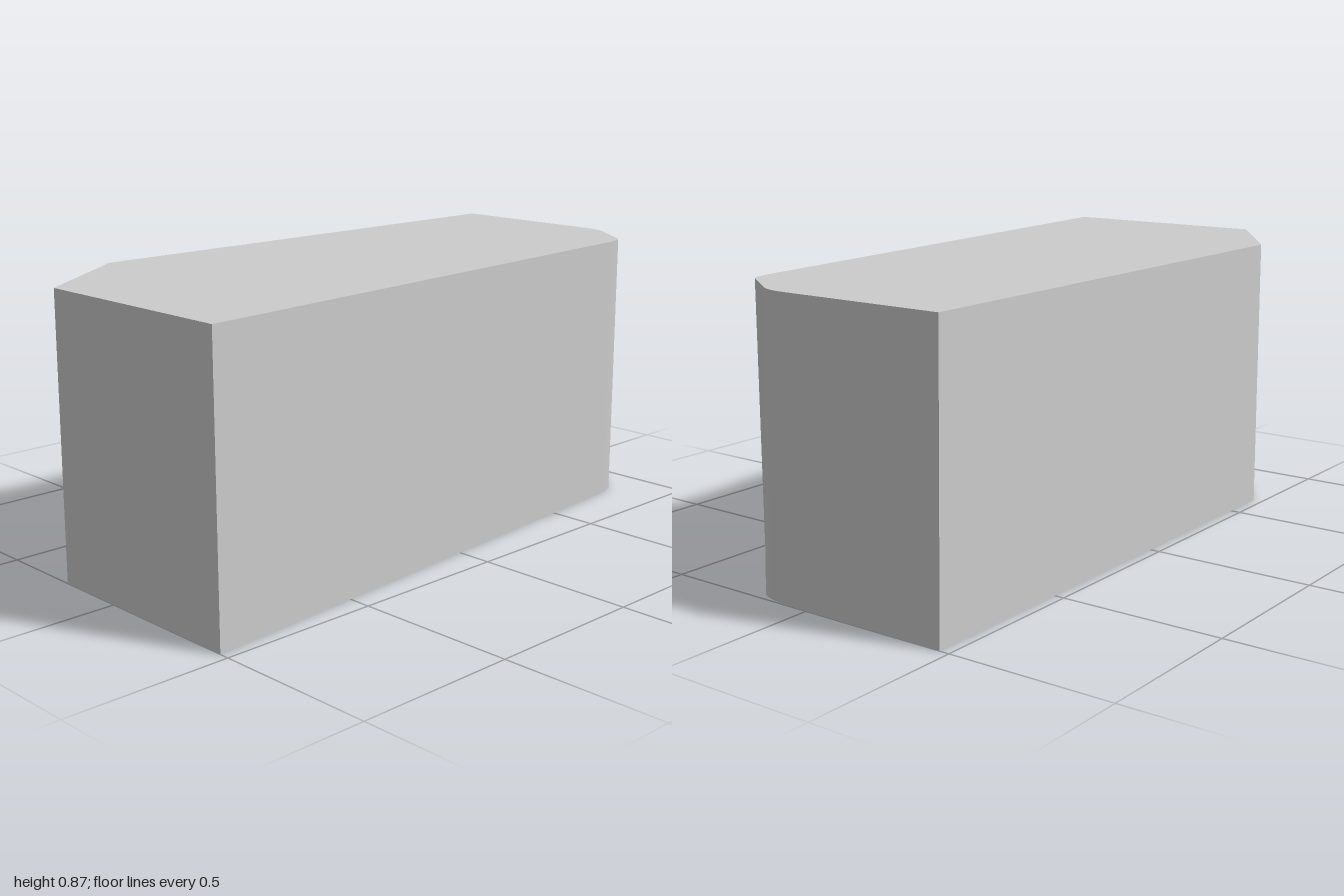
import * as THREE from 'three';
import { toCreasedNormals } from 'three/addons/utils/BufferGeometryUtils.js';

// Plan outline (x, z), running front left corner cut -> right side -> back
function outline(cutZ, cutX, backZ, roundStart, cornerX, roundEnd) {
  const path = new THREE.Path();
  path.moveTo(-0.47, cutZ);
  path.lineTo(cutX, 1);
  path.lineTo(0.47, 1);
  path.lineTo(0.327, -0.77);
  path.quadraticCurveTo(0.322, -0.835, 0.3, -0.857);
  path.lineTo(roundStart[0], roundStart[1]);
  path.quadraticCurveTo(cornerX, backZ + 0.005, roundEnd, backZ + 0.002);
  path.lineTo(-0.47, backZ);
  return path.getPoints(8);
}

// Walls between two outlines, closed by a flat cap at each end
function loft(bottom, top, height) {
  const pos = [];
  const low = (i) => [bottom[i].x, 0, bottom[i].y];
  const high = (i) => [top[i].x, height, top[i].y];
  const tri = (a, b, c) => pos.push(...a, ...b, ...c);
  const n = bottom.length;
  for (let i = 0; i < n; i++) {
    const j = (i + 1) % n;
    tri(low(i), low(j), high(j));
    tri(low(i), high(j), high(i));
    if (i > 0 && i < n - 1) {
      tri(high(0), high(i), high(i + 1));
      tri(low(0), low(i + 1), low(i));
    }
  }
  const geometry = new THREE.BufferGeometry();
  geometry.setAttribute('position', new THREE.Float32BufferAttribute(pos, 3));
  geometry.computeVertexNormals();
  return toCreasedNormals(geometry, 0.5);
}

export function createModel() {
  const group = new THREE.Group();
  group.name = 'block';
  // The back wall and corners lean in slightly towards the top
  const bottom = outline(0.652, -0.228, -1, [0.19, -0.965], 0.16, 0.06);
  const top = outline(0.645, -0.222, -0.988, [0.17, -0.95], 0.13, 0.07);
  const body = new THREE.Mesh(
    loft(bottom, top, 0.865),
    new THREE.MeshStandardMaterial({ color: 0xcccccc })
  );
  body.name = 'body';
  group.add(body);
  return group;
}
